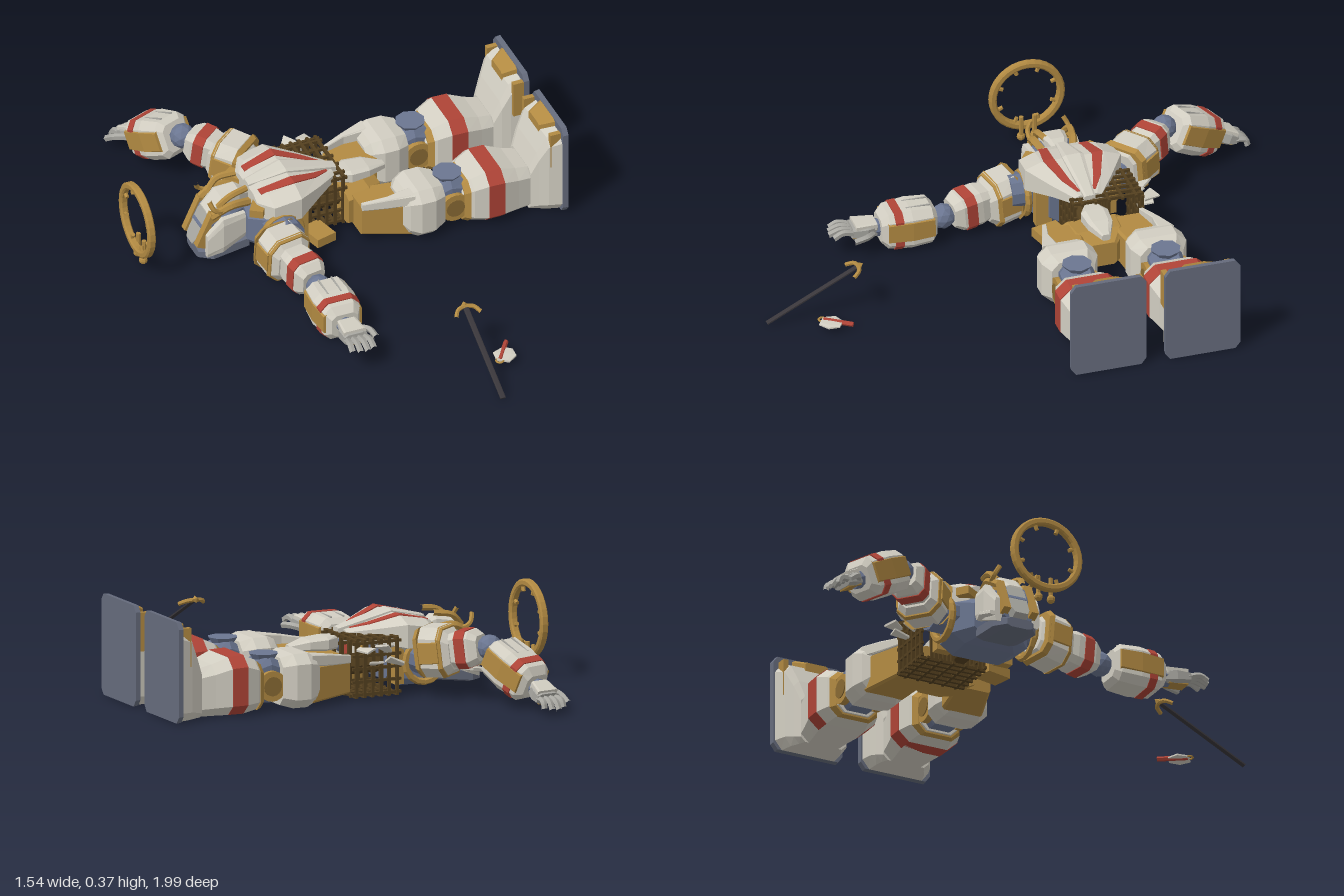
import * as THREE from 'three';

const mat = (color) => new THREE.MeshStandardMaterial({ color, flatShading: true });
const white = mat(0xd2cec2), gold = mat(0xb28a42), bronze = mat(0x8a6b34), blue = mat(0x6b7691), red = mat(0xb04437),
  brown = mat(0x54401f), dark = mat(0x3a373b), grey = mat(0xa9a8a2), sole = mat(0x666c7d);
const C = -0.245; // centre plane of the body
const V = (x, y, z) => new THREE.Vector3(x, y, z);

function add(parent, name, geo, m, x = 0, y = 0, z = 0, rx = 0, ry = 0, rz = 0) {
  const mesh = new THREE.Mesh(geo, m);
  mesh.name = name;
  mesh.position.set(x, y, z);
  mesh.rotation.set(rx, ry, rz);
  parent.add(mesh);
}
const box = (w, h, d) => new THREE.BoxGeometry(w, h, d);
const cyl = (r, h, n = 12, r2 = r) => new THREE.CylinderGeometry(r, r2, h, n);

// Bevelled-rectangle cross-sections [x, y, z, halfY, halfZ] joined along x
function loft(sections, k = 0.35) {
  const pos = [], q = 1 - k;
  const rings = sections.map(([x, y, z, a, b]) =>
    [[1, -q], [1, q], [q, 1], [-q, 1], [-1, q], [-1, -q], [-q, -1], [q, -1]]
      .map(([u, v]) => [x, y + u * a, z + v * b]));
  const tri = (...p) => p.forEach(v => pos.push(...v));
  for (let i = 0; i + 1 < rings.length; i++) for (let j = 0; j < 8; j++) {
    const n = (j + 1) % 8, a = rings[i][j], b = rings[i][n], c = rings[i + 1][n], d = rings[i + 1][j];
    tri(a, b, d); tri(b, c, d);
  }
  const first = rings[0], last = rings[rings.length - 1];
  for (let j = 1; j < 7; j++) {
    tri(first[0], first[j + 1], first[j]);
    tri(last[0], last[j], last[j + 1]);
  }
  const g = new THREE.BufferGeometry();
  g.setAttribute('position', new THREE.Float32BufferAttribute(pos, 3));
  g.computeVertexNormals();
  return g;
}
const tube = (pts, r, n = 6) => new THREE.TubeGeometry(new THREE.CatmullRomCurve3(pts), 14, r, n);

// Group whose +x runs from a to b
function bone(parent, name, a, b) {
  const g = new THREE.Group(), x = b.clone().sub(a).normalize();
  const z = x.clone().cross(V(0, 1, 0)).normalize(), y = z.clone().cross(x);
  g.quaternion.setFromRotationMatrix(new THREE.Matrix4().makeBasis(x, y, z));
  g.position.copy(a);
  g.name = name;
  parent.add(g);
  return g;
}

function leg(root, s) {
  const g = new THREE.Group();
  g.name = s > 0 ? 'rightLeg' : 'leftLeg';
  g.position.z = C + s * 0.165;
  root.add(g);
  add(g, 'upperThigh', loft([[0.03, 0.085, -s * 0.05, 0.06, 0.065], [0.2, 0.08, -s * 0.01, 0.068, 0.08]], 0.12), gold);
  add(g, 'hipPlate', loft([[0.03, 0.15, s * 0.015, 0.014, 0.008], [0.12, 0.16, s * 0.04, 0.02, 0.012],
    [0.21, 0.17, s * 0.05, 0.022, 0.03]], 0.2), white);
  add(g, 'thigh', loft([[0.17, 0.1, 0, 0.06, 0.06], [0.19, 0.1, 0, 0.085, 0.085], [0.225, 0.1, 0, 0.098, 0.104],
    [0.28, 0.1, 0, 0.098, 0.104], [0.325, 0.1, 0, 0.085, 0.08]]), white);
  add(g, 'kneeJoint', loft([[0.3, 0.1, 0, 0.06, 0.05], [0.36, 0.11, 0, 0.085, 0.062], [0.43, 0.1, 0, 0.07, 0.06]]), blue);
  add(g, 'kneeCap', cyl(0.055, 0.03, 8, 0.035), blue, 0.365, 0.185, 0);
  for (const t of [-1, 1]) {
    add(g, 'kneeDisc', cyl(0.055, 0.025, 20), gold, 0.365, 0.09, t * 0.066, Math.PI / 2);
    add(g, 'kneeHub', cyl(0.035, 0.03, 16), bronze, 0.365, 0.09, t * 0.067, Math.PI / 2);
  }
  const shin = [[0.395, 0.09, 0, 0.07, 0.07], [0.43, 0.1, 0, 0.09, 0.1], [0.48, 0.107, 0, 0.105, 0.116],
    [0.54, 0.106, 0, 0.104, 0.116], [0.6, 0.095, 0, 0.093, 0.1], [0.655, 0.088, 0, 0.087, 0.088]];
  add(g, 'shin', loft(shin), white);
  add(g, 'shinTrim', loft([[0.4, 0.09, 0, 0.078, 0.08], [0.42, 0.095, 0, 0.088, 0.095]]), gold);
  add(g, 'shinBand', loft([[0.48, 0.108, 0, 0.106, 0.118], [0.54, 0.107, 0, 0.105, 0.118]]), red);
  // Foot pointing up, with the sole turned to +x
  add(g, 'foot', loft([[0.65, 0.09, 0, 0.088, 0.09], [0.675, 0.125, 0, 0.123, 0.105],
    [0.705, 0.16, s * 0.005, 0.158, 0.12], [0.755, 0.17, s * 0.01, 0.168, 0.132]], 0.2), white);
  add(g, 'sole', loft([[0.75, 0.183, s * 0.01, 0.181, 0.138], [0.77, 0.183, s * 0.01, 0.183, 0.14]], 0.13), sole);
  add(g, 'toeCap', loft([[0.7, 0.31, 0, 0.03, 0.045], [0.752, 0.325, s * 0.005, 0.038, 0.07]], 0.2), gold);
  for (const t of [-1, 1])
    add(g, 'footTrim', box(0.04, 0.14, 0.02), gold, 0.73, 0.27, t * 0.118);
}

function arm(root, side, shoulder, elbow, wrist, tip) {
  const g = new THREE.Group();
  g.name = side + 'Arm';
  root.add(g);
  const u = bone(g, 'upperArm', shoulder, elbow), L = shoulder.distanceTo(elbow);
  add(u, 'pauldron', loft([[-0.075, 0, 0, 0.06, 0.05], [-0.045, 0, 0, 0.09, 0.08], [0.03, -0.005, 0, 0.09, 0.085],
    [0.062, -0.01, 0, 0.06, 0.06]], 0.42), white);
  add(u, 'pauldronRim', loft([[-0.066, 0, 0, 0.08, 0.082], [-0.048, 0, 0, 0.09, 0.09]], 0.35), gold);
  add(u, 'pauldronEdge', loft([[0.025, -0.005, 0, 0.092, 0.087], [0.04, -0.007, 0, 0.086, 0.081]], 0.42), gold);
  add(u, 'pauldronFrame', loft([[-0.06, 0, 0, 0.045, 0.085], [0.03, 0, 0, 0.045, 0.09]], 0.2), gold);
  add(u, 'upperArmPlate', loft([[0.05, 0, 0, 0.058, 0.052], [0.09, 0, 0, 0.066, 0.06],
    [L - 0.06, 0, 0, 0.064, 0.06], [L - 0.03, 0, 0, 0.045, 0.045]]), white);
  add(u, 'upperArmBand', loft([[L - 0.11, 0, 0, 0.068, 0.063], [L - 0.07, 0, 0, 0.068, 0.063]]), red);
  add(g, 'elbow', new THREE.IcosahedronGeometry(0.046, 1), blue, elbow.x, elbow.y, elbow.z);
  const f = bone(g, 'forearm', elbow, wrist), F = elbow.distanceTo(wrist);
  add(f, 'forearmPlate', loft([[0.035, 0, 0, 0.052, 0.052], [0.055, 0, 0, 0.072, 0.072],
    [F * 0.55, 0, 0, 0.077, 0.078], [F - 0.025, 0, 0, 0.07, 0.068], [F, 0, 0, 0.045, 0.05]]), white);
  add(f, 'forearmFrame', loft([[0.05, 0.005, 0, 0.042, 0.078], [F * 0.55, 0.005, 0, 0.045, 0.082],
    [F - 0.02, 0.005, 0, 0.042, 0.074]], 0.2), gold);
  add(f, 'forearmBand', loft([[F - 0.075, 0, 0, 0.076, 0.077], [F - 0.045, 0, 0, 0.075, 0.075]]), red);
  for (const z of [-0.025, 0.025]) add(f, 'forearmGroove', box(0.09, 0.006, 0.006), grey, 0.1, 0.074, z);
  const h = bone(g, 'hand', wrist, tip), H = wrist.distanceTo(tip);
  add(h, 'wrist', cyl(0.033, 0.05, 8), blue, 0.005, 0, 0, 0, 0, Math.PI / 2);
  add(h, 'palm', loft([[0.01, 0, 0, 0.025, 0.03], [0.05, 0, 0, 0.026, 0.045], [H * 0.55, 0, 0, 0.02, 0.043]]), grey);
  add(h, 'handPlate', loft([[0.015, 0.02, 0, 0.014, 0.034], [H * 0.5, 0.018, 0, 0.012, 0.042]], 0.2), white);
  add(h, 'palmPad', box(H * 0.4, 0.012, 0.055), gold, H * 0.32, -0.02, 0);
  for (let i = 0; i < 4; i++) {
    const z = (i - 1.5) * 0.022, e = H - Math.abs(i - 1.3) * 0.012;
    add(h, 'finger', tube([V(H * 0.5, 0, z), V(H * 0.75, 0.008, z * 1.15), V(e, -0.01, z * 1.2)], 0.0115, 5), grey);
  }
  add(h, 'thumb', tube([V(0.03, -0.005, -0.035), V(0.06, 0, -0.065), V(0.11, -0.01, -0.075)], 0.012, 5), grey);
}

function torso(root) {
  const g = new THREE.Group();
  g.name = 'torso';
  root.add(g);
  add(g, 'back', loft([[-0.37, 0.11, C, 0.07, 0.09], [-0.31, 0.11, C, 0.09, 0.15], [-0.2, 0.11, C, 0.09, 0.14],
    [-0.16, 0.11, C, 0.07, 0.1]]), blue);
  add(g, 'breastplate', loft([[-0.34, 0.19, C, 0.05, 0.1], [-0.3, 0.195, C, 0.06, 0.17], [-0.2, 0.21, C, 0.065, 0.178],
    [-0.1, 0.21, C, 0.035, 0.11], [-0.02, 0.205, C, 0.02, 0.05]]), white);
  add(g, 'breastRidge', loft([[-0.34, 0.24, C, 0.012, 0.02], [-0.2, 0.27, C, 0.016, 0.04], [0, 0.22, C, 0.012, 0.02]]), white);
  for (const s of [-1, 1]) {
    add(g, 'chestStripe', loft([[-0.32, 0.245, C + s * 0.075, 0.006, 0.016], [-0.2, 0.274, C + s * 0.09, 0.006, 0.02],
      [-0.1, 0.244, C + s * 0.058, 0.005, 0.014], [-0.04, 0.228, C + s * 0.028, 0.004, 0.006]], 0.1), red);
    add(g, 'shoulderJoint', cyl(0.065, 0.12, 10), blue, -0.27, 0.13, C + s * 0.16, Math.PI / 2);
    add(g, 'shoulderRing', new THREE.TorusGeometry(0.075, 0.013, 6, 16), gold, -0.27, 0.115, C + s * 0.165);
    add(g, 'sideGuard', box(0.035, 0.15, 0.06), gold, -0.18, 0.11, C + s * 0.12);
    add(g, 'collar', box(0.05, 0.03, 0.08), gold, -0.335, 0.2, C + s * 0.1, 0, -s * 0.6);
  }
  // Open lattice waist, exposed on the left flank
  const cage = new THREE.Group();
  cage.name = 'waistCage';
  root.add(cage);
  const zc = -0.31;
  for (let i = 0; i < 6; i++) {
    const x = -0.15 + i * 0.032;
    for (const t of [-1, 0, 1])
      add(cage, 'rib', box(0.011, 0.21, 0.011), brown, x, 0.112, zc + t * 0.125);
    for (const t of [-1, 1])
      add(cage, 'crossRib', box(0.011, 0.011, 0.25), brown, x, 0.112 + t * 0.1, zc);
  }
  for (let i = 0; i < 5; i++) for (const t of [-1, 1]) {
    add(cage, 'rail', box(0.19, 0.01, 0.01), brown, -0.07, 0.02 + i * 0.046, zc + t * 0.125);
    add(cage, 'topRail', box(0.19, 0.01, 0.01), brown, -0.07, 0.112 + t * 0.1, zc - 0.1 + i * 0.05);
  }
  add(cage, 'spine', cyl(0.035, 0.22, 8), brown, -0.06, 0.09, C, 0, 0, Math.PI / 2);
  add(cage, 'flankPanel', box(0.08, 0.035, 0.1), gold, -0.11, 0.03, -0.13, 0, 0.25);
  for (let i = 0; i < 4; i++)
    add(cage, 'tornPlate', loft([[-0.03, 0, 0, 0.006, 0.012], [0.03, 0.01, 0, 0.004, 0.026]], 0.3), white,
      -0.13 + i * 0.04, 0.13 + (i % 2) * 0.05, -0.465, 0.5 - i * 0.3, i * 0.7, 0.2);
  // Pelvis and front tasset
  add(g, 'pelvis', loft([[0.01, 0.085, C, 0.06, 0.11], [0.1, 0.085, C, 0.065, 0.1], [0.16, 0.08, C, 0.045, 0.05]], 0.2), gold);
  add(g, 'tasset', loft([[0, 0.18, C, 0.025, 0.02], [0.05, 0.18, C, 0.025, 0.05], [0.12, 0.18, C, 0.02, 0.045],
    [0.19, 0.17, C, 0.012, 0.015]]), white);
}

function head(root) {
  const g = new THREE.Group();
  g.name = 'head';
  root.add(g);
  add(g, 'neck', cyl(0.05, 0.1, 8), blue, -0.37, 0.13, C, 0, 0, Math.PI / 2);
  add(g, 'skull', loft([[-0.53, 0.08, C, 0.045, 0.055], [-0.5, 0.105, C, 0.075, 0.07], [-0.43, 0.125, C, 0.085, 0.075],
    [-0.37, 0.14, C, 0.06, 0.05]]), blue);
  add(g, 'faceMask', loft([[-0.505, 0.165, C, 0.02, 0.032], [-0.45, 0.205, C, 0.03, 0.048], [-0.38, 0.215, C, 0.03, 0.038],
    [-0.34, 0.2, C, 0.02, 0.018]]), white);
  add(g, 'crownCap', loft([[-0.015, 0, C, 0.07, 0.035], [0.02, 0, C, 0.08, 0.04]], 0.3), grey, -0.517, 0.115, 0, 0, 0, -0.42);
  add(g, 'hood', loft([[-0.545, 0.022, C, 0.018, 0.05], [-0.5, 0.028, C, 0.025, 0.085], [-0.36, 0.045, C, 0.025, 0.08]]), sole);
  for (const s of [-1, 1]) {
    add(g, 'crownFrame', box(0.04, 0.14, 0.028), gold, -0.512, 0.125, C + s * 0.055, 0, 0, -0.42);
    add(g, 'cheekPlate', loft([[-0.525, 0.07, C + s * 0.075, 0.045, 0.014], [-0.47, 0.115, C + s * 0.09, 0.07, 0.016],
      [-0.38, 0.135, C + s * 0.08, 0.05, 0.014]]), white);
    add(g, 'faceTrim', tube([V(-0.5, 0.18, C + s * 0.06), V(-0.43, 0.215, C + s * 0.07), V(-0.35, 0.2, C + s * 0.05)], 0.015), gold);
    add(g, 'horn', tube([V(-0.43, 0.21, C + s * 0.06), V(-0.47, 0.205, C + s * 0.075),
      V(-0.495, 0.22, C + s * 0.075), V(-0.508, 0.25, C + s * 0.06)], 0.009), gold);
    add(g, 'upperHorn', tube([V(-0.47, 0.21, C + s * 0.05), V(-0.43, 0.25, C + s * 0.06),
      V(-0.36, 0.262, C + s * 0.05)], 0.012), gold);
  }
  add(g, 'hoodFlap', loft([[-0.53, 0.05, C - 0.1, 0.008, 0.012], [-0.48, 0.06, C - 0.11, 0.008, 0.02],
    [-0.42, 0.07, C - 0.095, 0.008, 0.012]]), white);
}

function props(root) {
  // Upright flat ring with pegs
  const ring = new THREE.Group();
  ring.name = 'ring';
  ring.position.set(-0.757, 0.2, -0.25);
  root.add(ring);
  const band = [[0.114, -0.009], [0.12, -0.014], [0.134, -0.014], [0.14, -0.009], [0.14, 0.009], [0.134, 0.014],
    [0.12, 0.014], [0.114, 0.009], [0.114, -0.009]].map(p => new THREE.Vector2(...p));
  add(ring, 'hoop', new THREE.LatheGeometry(band, 32), gold, 0, 0, 0, 0, 0, Math.PI / 2);
  for (let i = 0; i < 8; i++) {
    const a = i * Math.PI / 4 + Math.PI / 8;
    add(ring, 'peg', cyl(0.008, 0.03, 6), gold, 0, 0.112 * Math.cos(a), 0.112 * Math.sin(a), a);
  }
  for (const z of [-0.025, 0.025]) {
    add(ring, 'stem', cyl(0.009, 0.09, 6), gold, 0.015, -0.125, z);
    add(ring, 'knob', new THREE.SphereGeometry(0.016, 8, 6), gold, 0.012, -0.163, z);
  }
  // Staff leaning on the ground
  const a = V(0.118, 0.006, 0.995), b = V(0.118, 0.18, 0.655), n = a.distanceTo(b);
  const staff = bone(root, 'staff', a, b);
  add(staff, 'shaft', loft([[0, 0, 0, 0.004, 0.01], [n, 0, 0, 0.004, 0.01]]), dark);
  add(staff, 'crossbar', tube([V(n - 0.035, 0, -0.048), V(n - 0.008, 0, -0.03), V(n, 0, 0), V(n - 0.008, 0, 0.03), V(n - 0.035, 0, 0.048)], 0.008), gold);
  add(staff, 'staffTip', new THREE.OctahedronGeometry(0.014), gold, n + 0.006, 0, 0);
  // Dagger
  const knife = bone(root, 'dagger', V(0.185, 0.026, 0.81), V(0.25, 0.026, 0.715));
  add(knife, 'handle', cyl(0.009, 0.11, 6), red, 0.06, 0, 0, 0, 0, Math.PI / 2);
  add(knife, 'pommel', new THREE.TorusGeometry(0.013, 0.004, 5, 12), gold, 0, 0, 0, Math.PI / 2);
  add(knife, 'blade', loft([[0, 0, 0.012, 0.004, 0.025], [0.04, 0, 0.01, 0.005, 0.042], [0.075, 0, 0.012, 0.004, 0.02]], 0.4), white);
}

export function createModel() {
  const root = new THREE.Group();
  root.name = 'fallenRobot';
  for (const s of [-1, 1]) leg(root, s);
  torso(root);
  head(root);
  arm(root, 'right', V(-0.3, 0.1, 0), V(-0.26, 0.08, 0.22), V(-0.262, 0.078, 0.46), V(-0.265, 0.095, 0.65));
  arm(root, 'left', V(-0.29, 0.17, -0.5), V(-0.41, 0.195, -0.65), V(-0.488, 0.085, -0.86), V(-0.51, 0.025, -0.995));
  props(root);
  return root;
}
